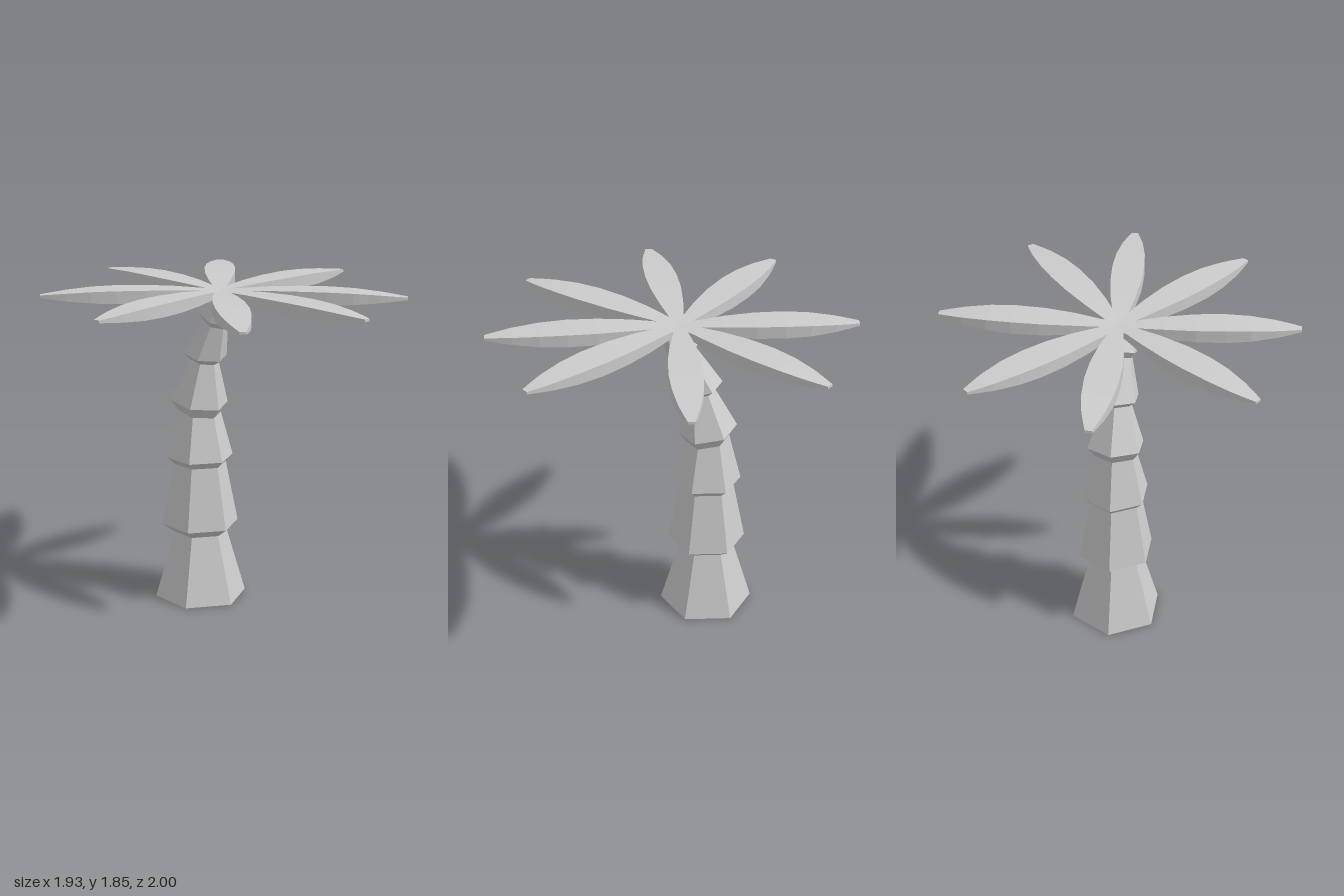
import * as THREE from 'three';

const material = new THREE.MeshStandardMaterial({ color: 0xcccccc, flatShading: true });

// Skin a list of rings (each counter-clockwise seen from the far end) and cap both ends.
function loft(rings) {
  const n = rings[0].length;
  const pos = [];
  const tri = (...pts) => pts.forEach((p) => pos.push(p.x, p.y, p.z));
  for (let i = 0; i < rings.length - 1; i++) {
    for (let j = 0; j < n; j++) {
      const k = (j + 1) % n;
      const a = rings[i][j], b = rings[i][k], c = rings[i + 1][j], d = rings[i + 1][k];
      tri(a, b, d);
      tri(a, d, c);
    }
  }
  const first = rings[0], last = rings[rings.length - 1];
  for (let j = 1; j < n - 1; j++) {
    tri(first[0], first[j + 1], first[j]);
    tri(last[0], last[j], last[j + 1]);
  }
  const geometry = new THREE.BufferGeometry();
  geometry.setAttribute('position', new THREE.Float32BufferAttribute(pos, 3));
  geometry.computeVertexNormals();
  return geometry;
}

// Hexagonal trunk: [height, z of centre, radius, forward tilt in degrees]
const TRUNK = [
  [0, -0.193, 0.265, 0],
  [0.39, -0.193, 0.153, 0],
  [0.44, -0.193, 0.22, 0],
  [0.80, -0.193, 0.15, 0],
  [0.84, -0.193, 0.19, 0],
  [1.105, -0.193, 0.122, 9],
  [1.165, -0.195, 0.163, 9],
  [1.41, -0.15, 0.08, 11],
  [1.445, -0.148, 0.125, 11],
  [1.645, -0.06, 0.075, 28],
  [1.68, -0.059, 0.1, 28],
  [1.80, 0.012, 0.062, 20],
];

function trunkRing([y, z, radius, tilt]) {
  const ring = [];
  for (let i = 0; i < 6; i++) {
    const t = (i / 6) * Math.PI * 2;
    ring.push(new THREE.Vector3(radius * Math.sin(t), 0, radius * Math.cos(t))
      .applyAxisAngle(new THREE.Vector3(1, 0, 0), THREE.MathUtils.degToRad(tilt))
      .add(new THREE.Vector3(-0.018, y, z)));
  }
  return ring;
}

// Frond along +x with a rectangular section: [distance, half width, half thickness]
const FROND = [
  [0, 0.034, 0.014],
  [0.1, 0.04, 0.02],
  [0.25, 0.066, 0.029],
  [0.42, 0.085, 0.034],
  [0.58, 0.089, 0.035],
  [0.72, 0.08, 0.031],
  [0.86, 0.057, 0.021],
  [0.94, 0.036, 0.013],
  [1, 0.018, 0.007],
];

const frondRing = ([x, w, h]) => [
  new THREE.Vector3(x, -h, -w),
  new THREE.Vector3(x, h, -w),
  new THREE.Vector3(x, h, w),
  new THREE.Vector3(x, -h, w),
];

// Frond tips as [x, z]
const TIPS = [
  [-0.02, -1], [0.645, -0.76], [0.965, -0.05], [0.635, 0.765],
  [0.065, 1], [-0.6, 0.795], [-0.965, 0.105], [-0.8, -0.61],
];

export function createModel() {
  const model = new THREE.Group();
  model.name = 'palmTree';

  const trunk = new THREE.Mesh(loft(TRUNK.map(trunkRing)), material);
  trunk.name = 'trunk';
  model.add(trunk);

  // Fronds radiate from the crown centre towards their tips
  const crown = new THREE.Group();
  crown.name = 'crown';
  crown.position.set(-0.008, 1.81, -0.035);
  const frondGeometry = loft(FROND.map(frondRing));
  TIPS.forEach(([x, z], i) => {
    const dx = x - crown.position.x, dz = z - crown.position.z;
    const frond = new THREE.Mesh(frondGeometry, material);
    frond.name = `frond${i + 1}`;
    frond.scale.x = Math.hypot(dx, dz);
    frond.rotation.y = -Math.atan2(dz, dx);
    crown.add(frond);
  });
  model.add(crown);

  return model;
}
